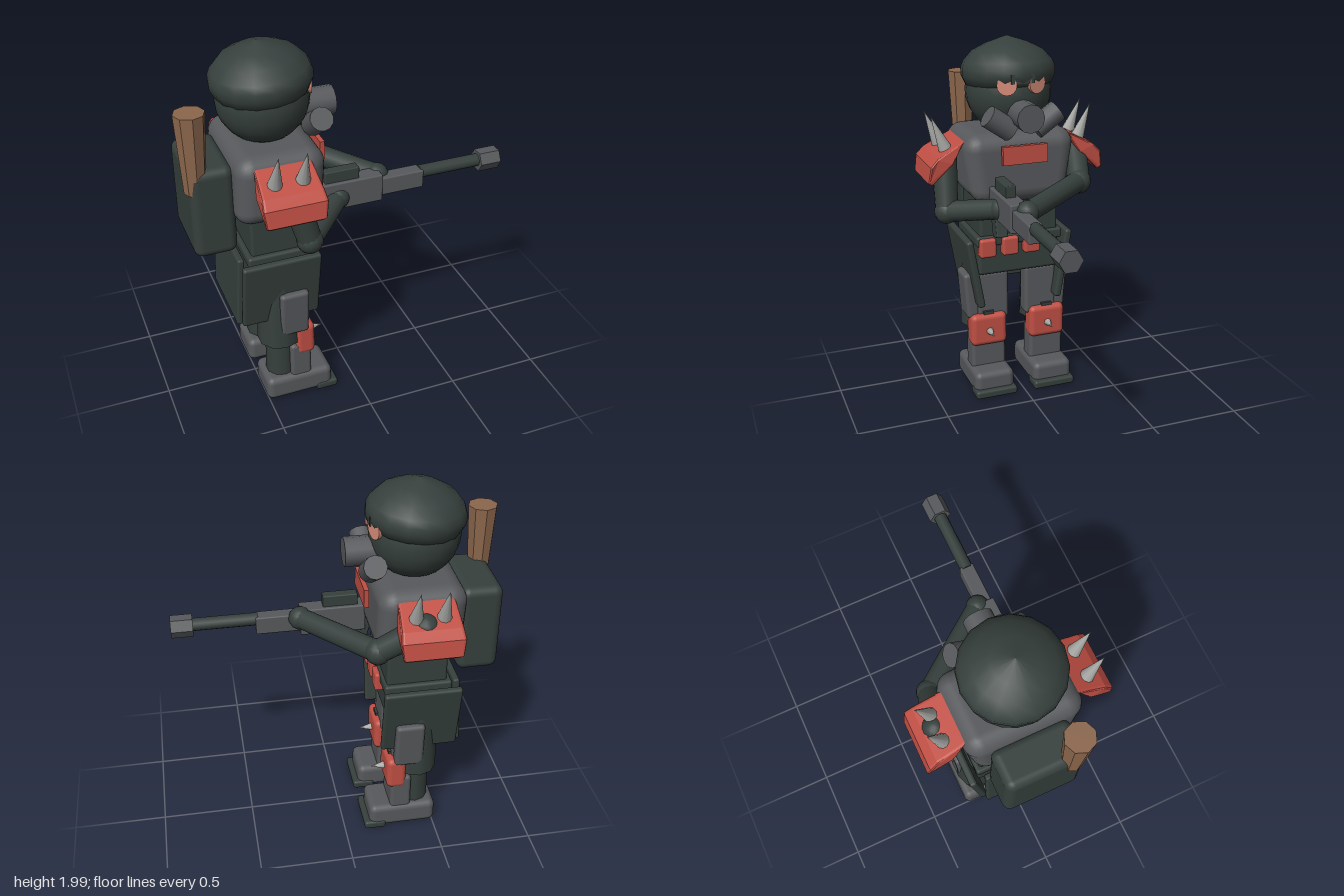
import * as THREE from 'three';
import { RoundedBoxGeometry } from 'three/addons/geometries/RoundedBoxGeometry.js';

const material = (name, color) => {
  const m = new THREE.MeshStandardMaterial({ color });
  m.name = name;
  return m;
};

export function createModel() {
  const dark = material('dark cloth', 0x36403d);
  const grey = material('grey armour', 0x57595c);
  const red = material('red plate', 0xc04f44);
  const lens = material('peach lens', 0xd68c78);
  const wood = material('wood', 0x8c674d);
  const metal = material('spike metal', 0xa6a6a3);
  const root = new THREE.Group();
  root.name = 'soldier';

  const add = (name, geo, mat, x = 0, y = 0, z = 0) => {
    const m = new THREE.Mesh(geo, mat);
    m.name = name;
    m.position.set(x, y, z);
    root.add(m);
    return m;
  };
  // Box given by its extents on each axis, with optional rounded edges
  const box = (name, mat, [x0, x1], [y0, y1], [z0, z1], r = 0) => {
    const s = [x1 - x0, y1 - y0, z1 - z0];
    const geo = r ? new RoundedBoxGeometry(...s, 3, r) : new THREE.BoxGeometry(...s);
    return add(name, geo, mat, (x0 + x1) / 2, (y0 + y1) / 2, (z0 + z1) / 2);
  };
  // Cylinder or cone running from point a to point b
  const rod = (name, mat, a, b, ra, rb, sides = 12) => {
    const p = new THREE.Vector3(...a), q = new THREE.Vector3(...b);
    const m = add(name, new THREE.CylinderGeometry(rb, ra, p.distanceTo(q), sides), mat);
    m.position.copy(p).lerp(q, 0.5);
    m.quaternion.setFromUnitVectors(new THREE.Vector3(0, 1, 0), q.sub(p).normalize());
    return m;
  };
  const ball = (name, mat, p, r, w = 14, h = 10) => add(name, new THREE.SphereGeometry(r, w, h), mat, ...p);
  // Mirrors a z range to either side
  const side = (s, a, b) => (s > 0 ? [a, b] : [-b, -a]);

  // Head and beret
  ball('head', dark, [-0.39, 1.715, 0], 0.235, 20, 14);
  const beretProfile = [[0, -0.1], [0.2, -0.1], [0.235, -0.085], [0.255, -0.04], [0.255, 0.0],
    [0.24, 0.035], [0.19, 0.09], [0.11, 0.13], [0, 0.165]].map(p => new THREE.Vector2(...p));
  add('beret', new THREE.LatheGeometry(beretProfile, 16), dark, -0.395, 1.835, 0).rotation.z = 0.08;

  // Gas mask
  for (const s of [1, -1]) {
    const dx = 0.94, dz = 0.34 * s;
    rod('lens', lens, [-0.205, 1.778, 0.07 * s], [-0.205 + dx * 0.045, 1.778, 0.07 * s + dz * 0.045], 0.053, 0.053, 16);
    rod('sideFilter', grey, [-0.155, 1.54, 0.065 * s], [-0.155, 1.63, 0.195 * s], 0.06, 0.06);
  }
  box('maskBridge', dark, [-0.22, -0.148], [1.785, 1.835], [-0.065, 0.065]);
  rod('mouthFilter', grey, [-0.2, 1.625, 0], [-0.03, 1.625, 0], 0.076, 0.076, 12);

  // Torso, narrower at the waist
  const torso = box('torso', grey, [-0.615, -0.16], [1.125, 1.52], [-0.31, 0.31], 0.09);
  const pos = torso.geometry.attributes.position;
  for (let i = 0; i < pos.count; i++) {
    const t = THREE.MathUtils.clamp((0.1 - pos.getY(i)) / 0.3, 0, 1);
    pos.setZ(i, pos.getZ(i) * (1 - 0.17 * t));
  }
  box('chestPlate', red, [-0.14, -0.115], [1.365, 1.465], [-0.125, 0.125]);
  box('abdomen', dark, [-0.545, -0.225], [0.92, 1.15], [-0.225, 0.225], 0.015);
  box('belt', dark, [-0.57, -0.21], [0.885, 0.945], [-0.25, 0.25], 0.015);
  box('pelvis', dark, [-0.55, -0.23], [0.71, 0.9], [-0.235, 0.235], 0.02);
  for (const z of [0.19, 0.06, -0.066]) box('pouch', red, [-0.25, -0.185], [0.828, 0.935], [z - 0.047, z + 0.047], 0.015);

  // Backpack and wooden club
  box('backpack', dark, [-0.82, -0.6], [0.975, 1.46], [-0.21, 0.205], 0.045);
  const club = new THREE.CylinderGeometry(0.077, 0.055, 0.42, 8).toNonIndexed();
  club.computeVertexNormals();
  add('club', club, wood, -0.784, 1.545, 0.145);

  // Skirt plates
  box('backSkirt', dark, [-0.63, -0.595], [0.53, 0.93], [-0.22, 0.22], 0.012).rotation.z = -0.06;

  // Shoulder plate cross-section: across and up
  const section = new THREE.Shape([[0.305, 1.47], [0.44, 1.395], [0.478, 1.355], [0.49, 1.275],
    [0.478, 1.265], [0.37, 1.37]].map(([z, y]) => new THREE.Vector2(z, y)));

  for (const s of [1, -1]) {
    box('sideSkirt', dark, [-0.615, -0.2], [0.525, 0.93], side(s, 0.238, 0.278), 0.015).rotation.x = s * 0.165;

    // Leg
    add('thigh', new THREE.CylinderGeometry(0.1, 0.117, 0.4, 10), dark, -0.405, 0.565, 0.18 * s);
    box('thighPlate', grey, [-0.36, -0.265], [0.42, 0.71], side(s, 0.05, 0.235), 0.02);
    box('thighGuard', grey, [-0.425, -0.27], [0.44, 0.71], side(s, 0.23, 0.3), 0.02).rotation.x = s * 0.07;
    add('shin', new THREE.CylinderGeometry(0.075, 0.085, 0.33, 10), dark, -0.4, 0.265, 0.175 * s);
    box('shinPlate', grey, [-0.37, -0.255], [0.1, 0.34], side(s, 0.075, 0.275), 0.02);
    box('kneeStrap', dark, [-0.3, -0.25], [0.44, 0.48], side(s, 0.145, 0.205));
    box('kneePad', red, [-0.34, -0.232], [0.275, 0.465], side(s, 0.07, 0.28), 0.03);
    rod('kneeSpike', metal, [-0.24, 0.365, 0.175 * s], [-0.155, 0.365, 0.175 * s], 0.023, 0, 8);
    box('boot', grey, [-0.51, -0.14], [0.01, 0.148], side(s, 0.06, 0.29), 0.035);
    box('toeSole', dark, [-0.23, -0.11], [0.005, 0.052], side(s, 0.053, 0.296), 0.015);

    // Shoulder plate, widest near its outer edge
    const plate = new THREE.ExtrudeGeometry(section, {
      depth: 0.3, steps: 1, bevelEnabled: true, bevelThickness: 0.015, bevelSize: 0.01, bevelSegments: 2 });
    plate.translate(0, 0, -0.15);
    const p = plate.attributes.position;
    for (let i = 0; i < p.count; i++) {
      const y = p.getY(i);
      p.setZ(i, p.getZ(i) * (y > 1.33 ? 1 - (y - 1.33) * 0.9 : 1 - (1.33 - y) * 1.6));
    }
    plate.rotateY(-s * Math.PI / 2);
    plate.computeVertexNormals();
    add('shoulderPlate', plate, red, -0.39, 0, 0);
    for (const x of [-0.46, -0.32])
      rod('shoulderSpike', metal, [x, 1.405, 0.37 * s], [x, 1.615, 0.455 * s], 0.043, 0, 10);
  }

  // Arms as jointed limbs: shoulder, elbow, hand
  const arm = (name, shoulder, elbow, hand) => {
    rod(name + 'Upper', dark, shoulder, elbow, 0.07, 0.062);
    rod(name + 'Forearm', dark, elbow, hand, 0.058, 0.055);
    ball(name + 'Shoulder', dark, shoulder, 0.07);
    ball(name + 'Elbow', dark, elbow, 0.068);
    ball(name + 'Hand', dark, hand, 0.062);
  };
  arm('rearArm', [-0.37, 1.36, 0.375], [-0.295, 1.09, 0.39], [-0.06, 1.15, 0.16]);
  arm('frontArm', [-0.37, 1.38, -0.38], [-0.15, 1.225, -0.32], [0.18, 1.2, 0.1]);

  // Rifle
  const gz = 0.142;
  box('receiver', grey, [-0.17, 0.178], [1.093, 1.245], [gz - 0.047, gz + 0.047], 0.008);
  box('handguard', grey, [0.17, 0.413], [1.117, 1.217], [gz - 0.038, gz + 0.038], 0.008);
  box('scope', dark, [-0.13, 0.055], [1.24, 1.307], [gz - 0.028, gz + 0.028], 0.006);
  box('grip', dark, [-0.185, -0.11], [0.965, 1.15], [gz - 0.032, gz + 0.032], 0.006).rotation.z = 0.25;
  rod('barrel', dark, [0.4, 1.193, gz], [0.75, 1.193, gz], 0.035, 0.035, 10);
  const muzzle = new THREE.CylinderGeometry(0.06, 0.06, 0.115, 6).toNonIndexed();
  muzzle.computeVertexNormals();
  muzzle.rotateZ(-Math.PI / 2);
  add('muzzle', muzzle, grey, 0.798, 1.19, gz);

  return root;
}
